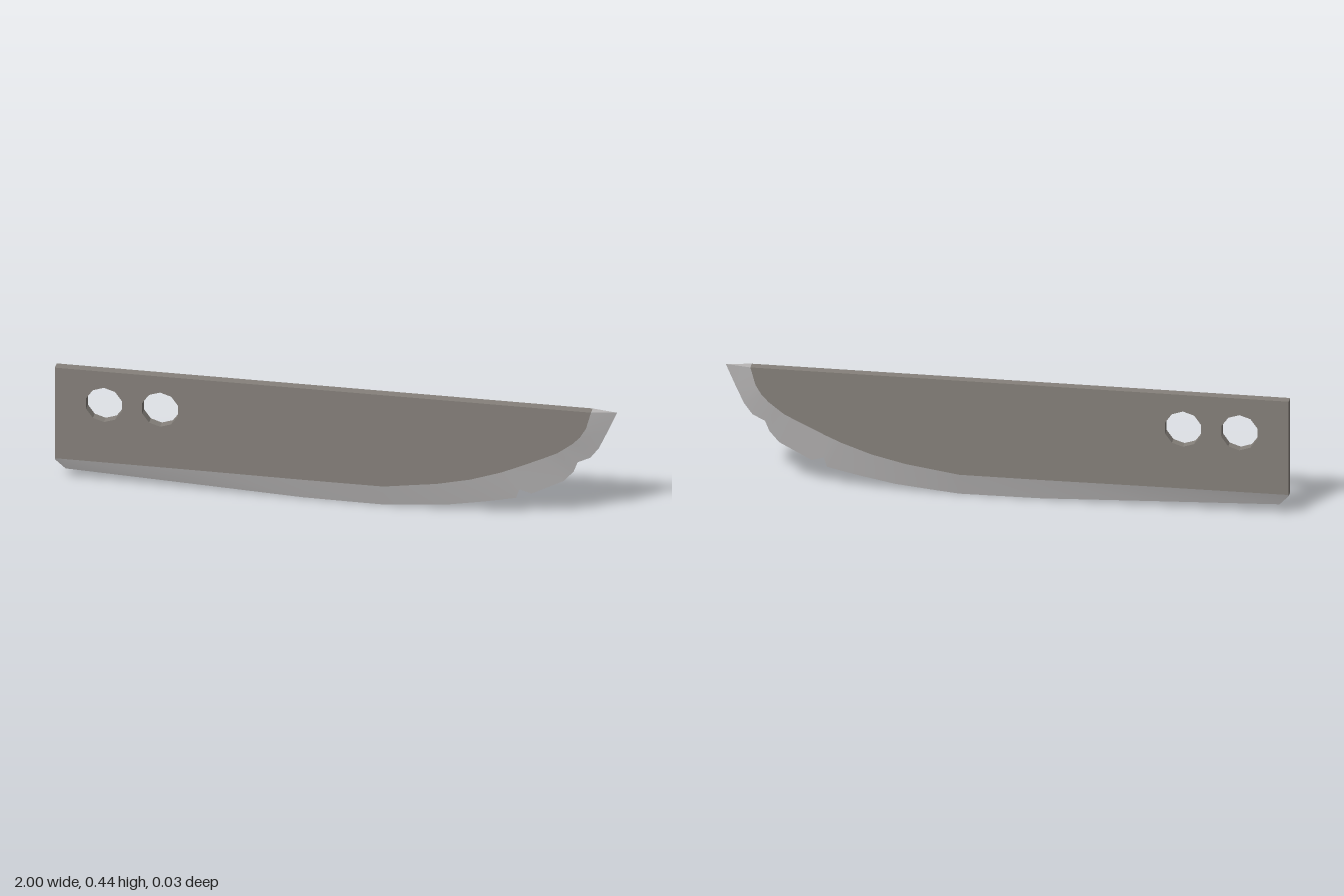
import * as THREE from 'three';

const T = 0.017; // half thickness of the blade

// Sections along the blade: inner x, inner y, edge x, edge y, half thickness at the edge
const SECTIONS = [
  [-1, 0.085, -1, 0.08, 0.015],
  [-0.965, 0.085, -0.965, 0.04, 0],
  [-0.5, 0.084, -0.5, 0.021, 0],
  [-0.12, 0.082, -0.12, 0.005, 0],
  [0.17, 0.082, 0.17, 0.003, 0],
  [0.25, 0.094, 0.28, 0.013, 0],
  [0.36, 0.11, 0.4, 0.025, 0],
  [0.48, 0.138, 0.53, 0.049, 0],
  [0.59, 0.176, 0.64, 0.073, 0],
  [0.61, 0.185, 0.652, 0.11, 0.005], // first nick
  [0.64, 0.198, 0.695, 0.095, 0],
  [0.74, 0.245, 0.81, 0.155, 0],
  [0.79, 0.27, 0.845, 0.195, 0],
  [0.81, 0.285, 0.86, 0.235, 0.005], // second nick
  [0.845, 0.312, 0.905, 0.255, 0],
  [0.87, 0.338, 0.935, 0.295, 0],
  [0.892, 0.375, 0.965, 0.36, 0],
  [0.91, 0.44, 1, 0.44, 0],
];

// Flat body with two ten-sided bolt holes
function bodyGeometry() {
  const shape = new THREE.Shape();
  shape.moveTo(-1, 0.44);
  for (const [x, y] of SECTIONS) shape.lineTo(x, y);
  shape.closePath();
  for (const cx of [-0.825, -0.625]) {
    const points = [];
    for (let i = 0; i < 10; i++) {
      const a = Math.PI / 2 - (i * Math.PI) / 5;
      points.push(new THREE.Vector2(cx + 0.067 * Math.cos(a), 0.31 + 0.067 * Math.sin(a)));
    }
    shape.holes.push(new THREE.Path(points));
  }
  return new THREE.ExtrudeGeometry(shape, { depth: 2 * T, bevelEnabled: false }).translate(0, 0, -T);
}

// Strip between two rows of points, smooth along its length
function strip(rowA, rowB) {
  const geo = new THREE.BufferGeometry();
  const index = [];
  for (let i = 0; i < rowA.length - 1; i++) {
    const a = 2 * i;
    index.push(a, a + 1, a + 3, a, a + 3, a + 2);
  }
  const pos = rowA.flatMap((p, i) => [...p, ...rowB[i]]);
  geo.setAttribute('position', new THREE.Float32BufferAttribute(pos, 3));
  geo.setIndex(index);
  geo.computeVertexNormals();
  return geo;
}

export function createModel() {
  const group = new THREE.Group();
  group.name = 'blade';
  const steel = new THREE.MeshStandardMaterial({ color: 0x86817b });
  steel.name = 'dark steel';
  const ground = new THREE.MeshStandardMaterial({ color: 0xb9b7b7 });
  ground.name = 'ground steel';

  const add = (name, geometry, material) => {
    const mesh = new THREE.Mesh(geometry, material);
    mesh.name = name;
    group.add(mesh);
  };

  add('bladeBody', bodyGeometry(), steel);

  // Ground bevels on both sides
  const inner = (s) => SECTIONS.map(([x, y]) => [x, y, s * T]);
  const edge = (s) => SECTIONS.map(([, , x, y, z]) => [x, y, s * z]);
  add('frontBevel', strip(inner(1), edge(1)), ground);
  add('backBevel', strip(edge(-1), inner(-1)), ground);

  // Narrow walls where the edge has thickness: nicks and heel
  add('edgeWalls', strip(edge(1), edge(-1)).toNonIndexed(), ground);

  // Spine end at the tip, and the heel end below the body
  add('tipTop', strip([[0.91, 0.44, T], [0.91, 0.44, -T]], [[1, 0.44, 0], [1, 0.44, 0]]), ground);
  add('heelEnd', strip([[-1, 0.085, -T], [-1, 0.085, T]], [[-1, 0.08, -0.015], [-1, 0.08, 0.015]]), ground);
  return group;
}
